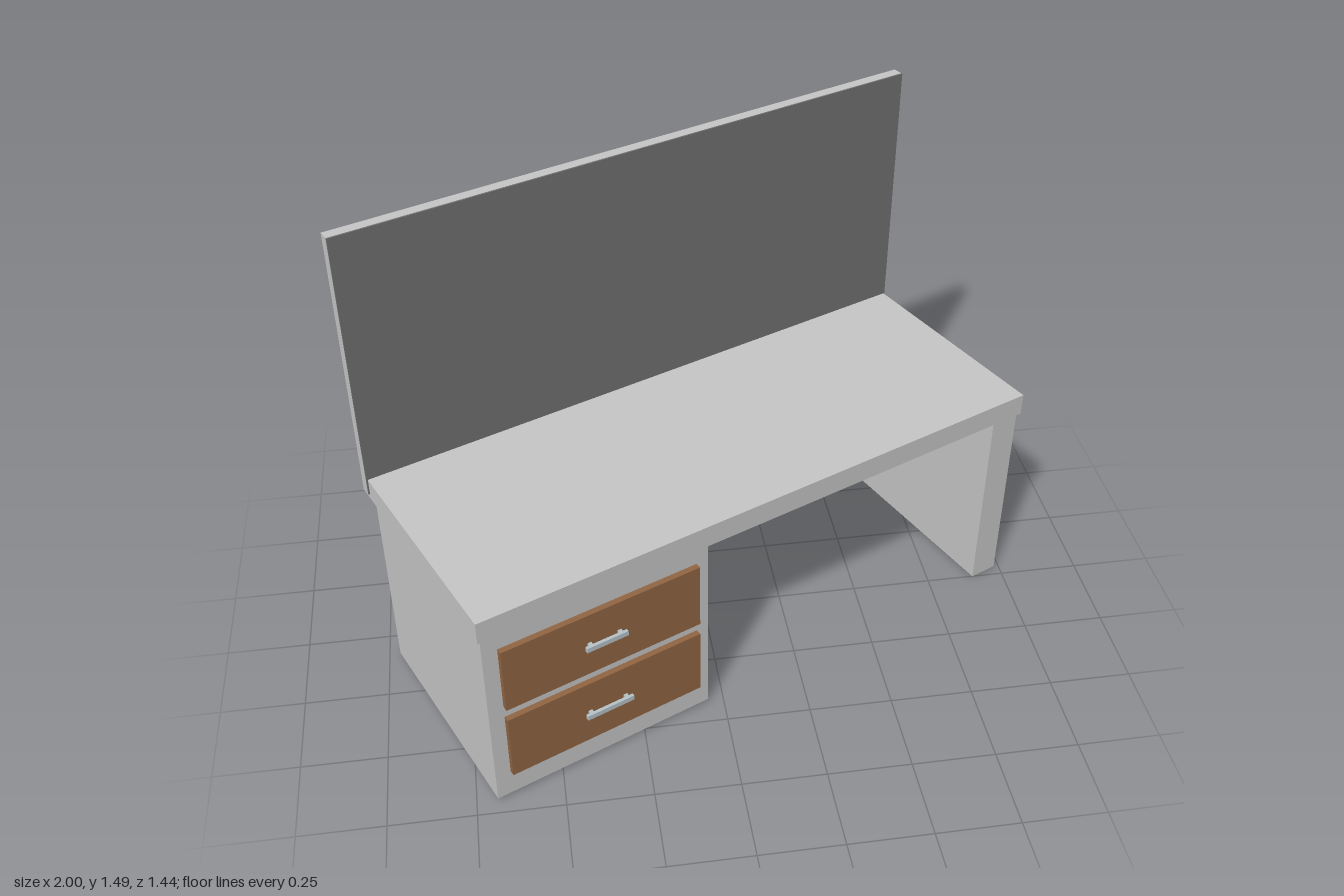
import * as THREE from 'three';

const mat = (name, color) => {
  const m = new THREE.MeshStandardMaterial({ color });
  m.name = name;
  return m;
};

export function createModel() {
  const grey = mat('light grey', 0xc8c8c8);
  const dark = mat('dark grey', 0x737373);
  const wood = mat('brown wood', 0x926643);
  const metal = mat('handle metal', 0xb8c4ca);

  const model = new THREE.Group();
  model.name = 'desk';

  // Box given by its limits along each axis
  const box = (name, material, [x0, x1], [y0, y1], [z0, z1], parent = model) => {
    const mesh = new THREE.Mesh(new THREE.BoxGeometry(x1 - x0, y1 - y0, z1 - z0), material);
    mesh.position.set((x0 + x1) / 2, (y0 + y1) / 2, (z0 + z1) / 2);
    mesh.name = name;
    parent.add(mesh);
    return mesh;
  };

  // Desk body
  box('desktop', grey, [-0.928, 0.928], [0.63, 0.7], [-0.376, 0.372]);
  box('drawerCabinet', grey, [-0.919, -0.217], [0.012, 0.63], [-0.312, 0.366]);
  box('legPanel', grey, [0.822, 0.914], [0, 0.63], [-0.311, 0.368]);

  // Upright back panel with a dark facing
  box('backPanel', grey, [-0.932, 0.932], [0.648, 1.49], [-0.362, -0.329]);
  box('backPanelFacing', dark, [-0.932, 0.932], [0.648, 1.49], [-0.329, -0.324]);

  // Drawers, each with a bar handle on two posts
  const drawers = [
    { y: [0.36, 0.577], handle: [-0.63, -0.5], hy: 0.47 },
    { y: [0.1, 0.32], handle: [-0.64, -0.49], hy: 0.21 },
  ];
  for (const { y, handle: [a, b], hy } of drawers) {
    const drawer = new THREE.Group();
    drawer.name = 'drawer';
    model.add(drawer);
    box('drawerFront', wood, [-0.873, -0.255], y, [0.366, 0.384], drawer);
    box('handleBar', metal, [a, b], [hy - 0.008, hy + 0.008], [0.394, 0.404], drawer);
    for (const x of [a + 0.012, b - 0.024]) {
      box('handlePost', metal, [x, x + 0.012], [hy - 0.007, hy + 0.007], [0.383, 0.395], drawer);
    }
  }

  // The whole desk stands at an angle
  model.rotation.y = THREE.MathUtils.degToRad(24.1);
  const root = new THREE.Group();
  root.name = 'angledDesk';
  root.add(model);
  return root;
}
